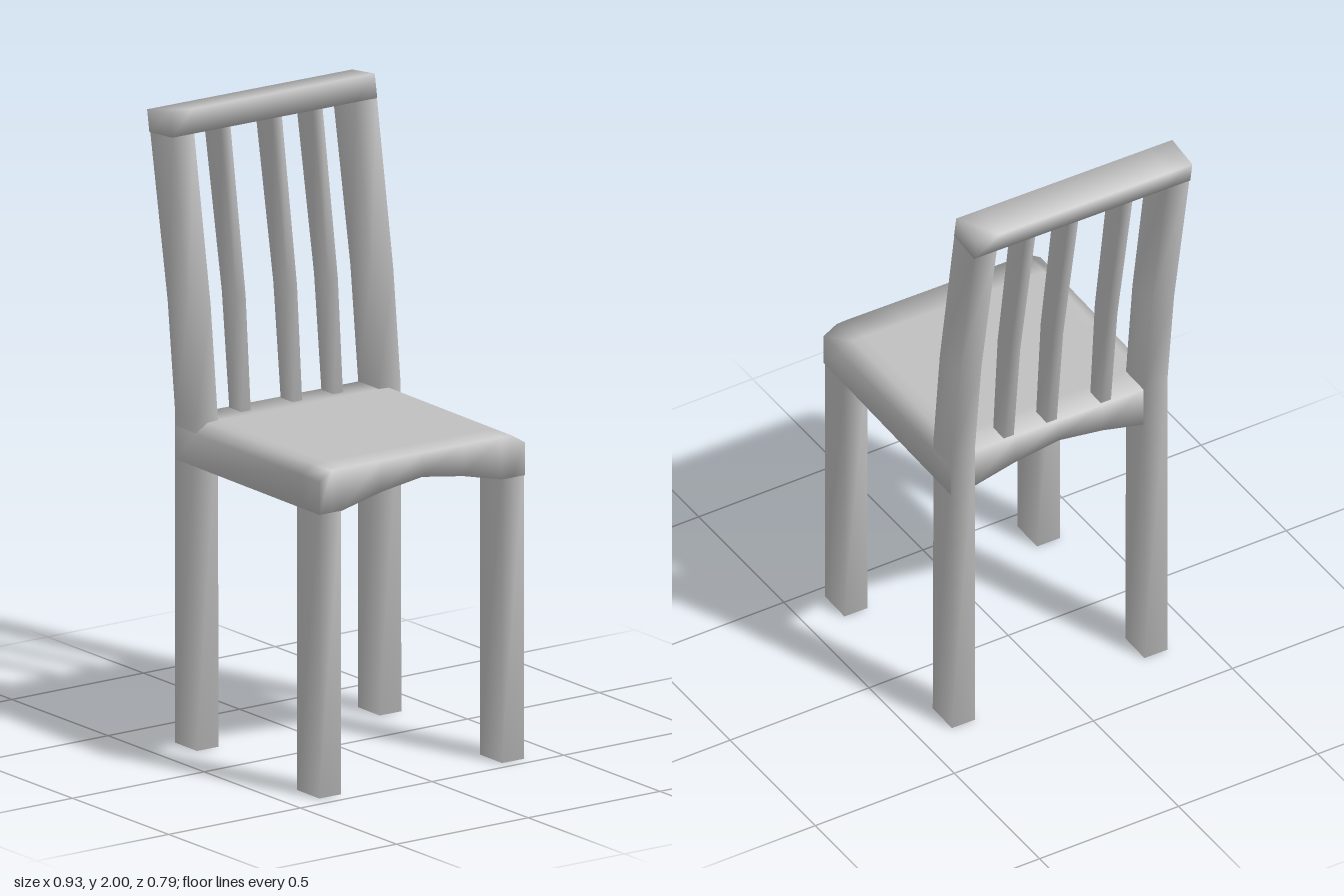
import * as THREE from 'three';
import { mergeVertices } from 'three/addons/utils/BufferGeometryUtils.js';

// Box grid whose corners are moved by place(i, j, k), with smooth shared normals
function gridBox(nx, ny, nz, place) {
  const geo = new THREE.BoxGeometry(nx, ny, nz, nx, ny, nz);
  geo.deleteAttribute('normal');
  geo.deleteAttribute('uv');
  const p = geo.attributes.position;
  for (let n = 0; n < p.count; n++) {
    p.setXYZ(n, ...place(
      Math.round(p.getX(n) + nx / 2),
      Math.round(p.getY(n) + ny / 2),
      Math.round(p.getZ(n) + nz / 2)));
  }
  const smooth = mergeVertices(geo, 1e-5);
  smooth.computeVertexNormals();
  return smooth;
}

// Upright post through rows of [y, back x, front x], between two z values
function post(rows, z0, z1) {
  return gridBox(1, rows.length - 1, 1, (i, j, k) => [rows[j][1 + i], rows[j][0], k ? z1 : z0]);
}

export function createModel() {
  const model = new THREE.Group();
  const chair = new THREE.Group();
  chair.name = 'chair';
  chair.rotation.y = -0.0155;
  model.add(chair);

  const grey = new THREE.MeshStandardMaterial({ color: 0xc0c0c0 });
  grey.name = 'grey';
  const add = (name, geo) => {
    const mesh = new THREE.Mesh(geo, grey);
    mesh.name = name;
    chair.add(mesh);
  };

  // Seat: softened side edges and an arched underside
  const seatX = [-0.305, -0.2, 0.36, 0.458];
  const seatZ = [-0.386, -0.34, -0.3, -0.155, 0, 0.155, 0.3, 0.34, 0.386];
  const seatTop = [1.01, 1.038, 1.04, 1.04, 1.04, 1.04, 1.04, 1.038, 1.01];
  const seatBottom = [0.905, 0.905, 0.905, 0.94, 0.963, 0.94, 0.905, 0.905, 0.905];
  add('seat', gridBox(3, 1, 8, (i, j, k) => [seatX[i], j ? seatTop[k] : seatBottom[k], seatZ[k]]));

  // Legs; each rear leg runs on up into a leaning back post
  const frontLeg = [[0, 0.337, 0.455], [0.95, 0.337, 0.455]];
  const rearLeg = [[0, -0.31, -0.195], [1.05, -0.31, -0.2], [1.4, -0.35, -0.238], [1.93, -0.445, -0.326]];
  for (const [side, z0, z1] of [['left', 0.302, 0.384], ['right', -0.384, -0.302]]) {
    add(side + ' side front leg', post(frontLeg, z0, z1));
    add(side + ' side rear leg and back post', post(rearLeg, z0, z1));
  }

  // Top rail across the back
  const railX = [[-0.446, -0.325], [-0.458, -0.338]];
  const railY = [[1.915, 1.925], [1.985, 2.0]];
  add('top rail', gridBox(1, 1, 3, (i, j, k) =>
    [railX[j][i], railY[j][i], [-0.385, -0.302, 0.302, 0.385][k]]));

  // Three bent slats
  const slat = [[1.0, -0.292, -0.23], [1.4, -0.335, -0.26], [1.95, -0.435, -0.345]];
  for (const z of [-0.173, -0.02, 0.173]) add('back slat', post(slat, z - 0.018, z + 0.018));

  return model;
}
